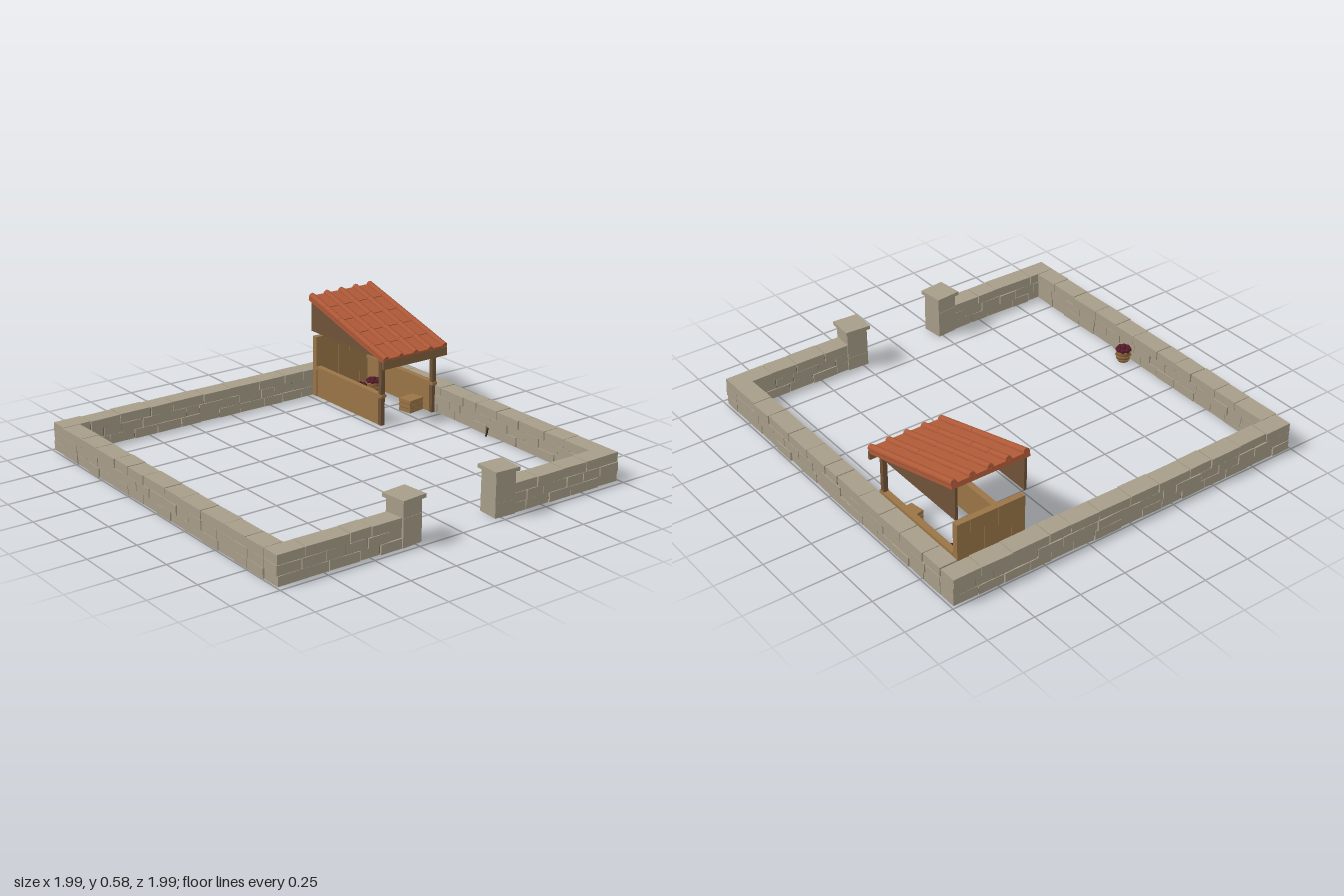
import * as THREE from 'three';

const mat = (name, color) => {
  const m = new THREE.MeshStandardMaterial({ color });
  m.name = name;
  return m;
};

export function createModel() {
  const M = {
    stone: mat('stone', 0xa79d89),
    mortar: mat('mortar', 0x544d42),
    tile: mat('roof tile', 0xb05a38),
    wood: mat('plank wood', 0x9a7547),
    midWood: mat('beam wood', 0x80603c),
    darkWood: mat('dark wood', 0x705338),
    wicker: mat('wicker', 0x8a6238),
    fruit: mat('fruit', 0x541a2b),
    iron: mat('iron', 0x2e2925),
  };
  const model = new THREE.Group();
  model.name = 'walledYard';

  let seed = 7;
  const rnd = () => (seed = (seed * 16807) % 2147483647) / 2147483647;
  const jit = (a) => (rnd() - 0.5) * 2 * a;

  const group = (name, parent = model) => {
    const g = new THREE.Group();
    g.name = name;
    parent.add(g);
    return g;
  };
  const add = (parent, name, geo, material, x, y, z) => {
    const m = new THREE.Mesh(geo, material);
    m.name = name;
    m.position.set(x, y, z);
    parent.add(m);
    return m;
  };
  const box = (parent, name, material, w, h, d, x, y, z) =>
    add(parent, name, new THREE.BoxGeometry(w, h, d), material, x, y, z);

  // Dry stone wall: a core with three courses of uneven blocks, built along local x
  const wall = (name, length, x, z, turn = 0) => {
    const g = group(name);
    g.position.set(x, 0, z);
    g.rotation.y = turn;
    box(g, 'wallCore', M.mortar, length - 0.012, 0.134, 0.086, 0, 0.072, 0);
    const courses = [[0.001, 0.048, 0.13], [0.05, 0.048, 0.12], [0.099, 0.048, 0.165]];
    courses.forEach(([y, h, size], row) => {
      const count = Math.max(2, Math.round(length / size));
      const step = length / count;
      let start = -length / 2;
      for (let i = 0; i < count; i++) {
        const end = i === count - 1 ? length / 2 : -length / 2 + (i + 1) * step + jit(step * 0.2);
        const b = box(g, row === 2 ? 'capStone' : 'wallStone', M.stone,
          end - start - 0.004, h, 0.098 + jit(0.003), (start + end) / 2, y + h / 2 + jit(0.001), jit(0.003));
        b.rotation.y = jit(0.025);
        start = end;
      }
    });
  };
  wall('backWall', 1.98, 0, -0.94);
  wall('leftWall', 1.76, 0.94, -0.01, Math.PI / 2);
  wall('rightWall', 1.76, -0.945, -0.01, Math.PI / 2);
  wall('frontWallRight', 0.7, -0.645, 0.92);
  wall('frontWallLeft', 0.7, 0.64, 0.92);

  // Gate pillars
  for (const s of [-1, 1]) {
    const g = group('gatePillar');
    g.position.set(0.276 * s, 0, 0.916);
    g.rotation.y = s < 0 ? 0.1 : -0.06;
    for (let i = 0; i < 3; i++)
      box(g, 'pillarBlock', M.stone, 0.113 + jit(0.002), 0.071, 0.113 + jit(0.002), 0, 0.037 + i * 0.071, 0);
    box(g, 'pillarCap', M.stone, 0.138, 0.02, 0.138, 0, 0.225, 0);
  }

  // Shed body
  const shed = group('shed');
  for (let i = 0; i < 5; i++)
    box(shed, 'backPlank', M.wood, 0.0725, 0.335, 0.032, 0.567 + i * 0.0735, 0.1675, -0.875);
  for (const x of [0.545, 0.884]) {
    box(shed, 'sideBoard', M.wood, 0.022, 0.165, 0.56, x, 0.0825, -0.575);
    box(shed, 'sideRail', M.wood, 0.032, 0.016, 0.572, x, 0.161, -0.572);
    box(shed, 'frontPost', M.darkWood, 0.024, 0.37, 0.024, x, 0.185, -0.305);
  }
  box(shed, 'fascia', M.midWood, 0.418, 0.045, 0.014, 0.714, 0.347, -0.247);
  box(shed, 'frontBeam', M.darkWood, 0.36, 0.022, 0.024, 0.7145, 0.363, -0.305);

  // Triangular gable boards
  const gable = new THREE.Shape([[0.27, 0.365], [0.89, 0.365], [0.89, 0.541]].map((p) => new THREE.Vector2(...p)));
  for (const x of [0.53, 0.897]) {
    const g = add(shed, 'gable', new THREE.ExtrudeGeometry(gable, { depth: 0.014, bevelEnabled: false }),
      M.darkWood, x - 0.007, 0, 0);
    g.rotation.y = Math.PI / 2;
  }

  // Tiled lean-to roof
  const roof = group('roof', shed);
  roof.position.set(0.714, 0.462, -0.566);
  roof.rotation.x = 0.275;
  const roofLength = 0.676, rows = 5, step = roofLength / rows;
  box(roof, 'roofDeck', M.tile, 0.413, 0.018, roofLength, 0, -0.007, 0);
  for (let r = 0; r < rows; r++) {
    const z = -roofLength / 2 + (r + 0.5) * step;
    for (let c = 0; c < 4; c++) {
      const t = box(roof, 'panTile', M.tile, 0.09, 0.01, step, -0.144 + c * 0.096, 0.004, z);
      t.rotation.x = -0.03;
    }
    for (let c = 0; c < 5; c++) {
      const rib = add(roof, 'ridgeTile', new THREE.CylinderGeometry(0.0175, 0.0175, step - 0.001, 8), M.tile,
        -0.192 + c * 0.096, 0.009, z);
      rib.rotation.x = -Math.PI / 2;
    }
  }

  // Woven baskets heaped with fruit
  const basket = (x, z) => {
    const g = group('basket');
    g.position.set(x, 0, z);
    g.scale.setScalar(1.08);
    const profile = [[0, 0], [0.027, 0], [0.036, 0.03], [0.036, 0.056], [0.031, 0.056], [0, 0.05]];
    add(g, 'basketBody', new THREE.LatheGeometry(profile.map((p) => new THREE.Vector2(...p)), 12), M.wicker, 0, 0, 0);
    for (const [h, r] of [[0.012, 0.031], [0.032, 0.036], [0.055, 0.035]]) {
      const hoop = add(g, 'basketHoop', new THREE.TorusGeometry(r, 0.0035, 5, 14), M.wood, 0, h, 0);
      hoop.rotation.x = Math.PI / 2;
    }
    for (let i = 0; i < 9; i++) {
      const a = i * Math.PI / 4, r = i < 8 ? 0.025 : 0;
      add(g, 'fruit', new THREE.IcosahedronGeometry(0.0135, 1), M.fruit,
        Math.cos(a) * r, i < 8 ? 0.062 : 0.07, Math.sin(a) * r);
    }
  };
  for (const [x, z] of [[-0.862, 0.1], [0.82, -0.73], [0.71, -0.71], [0.625, -0.73]]) basket(x, z);

  // Slatted crate
  const crate = group('crate', shed);
  crate.position.set(0.81, 0, -0.39);
  crate.rotation.y = 0.15;
  for (let i = 0; i < 3; i++) box(crate, 'crateSlat', M.wood, 0.1, 0.02, 0.08, 0, 0.012 + i * 0.024, 0);
  box(crate, 'crateCore', M.darkWood, 0.094, 0.06, 0.074, 0, 0.036, 0);

  // Small iron peg leaning by the wall
  const peg = add(model, 'ironPeg', new THREE.CylinderGeometry(0.005, 0.005, 0.045, 6), M.iron, 0.875, 0.024, 0.148);
  peg.rotation.set(-0.3, 0, -0.5);
  return model;
}
